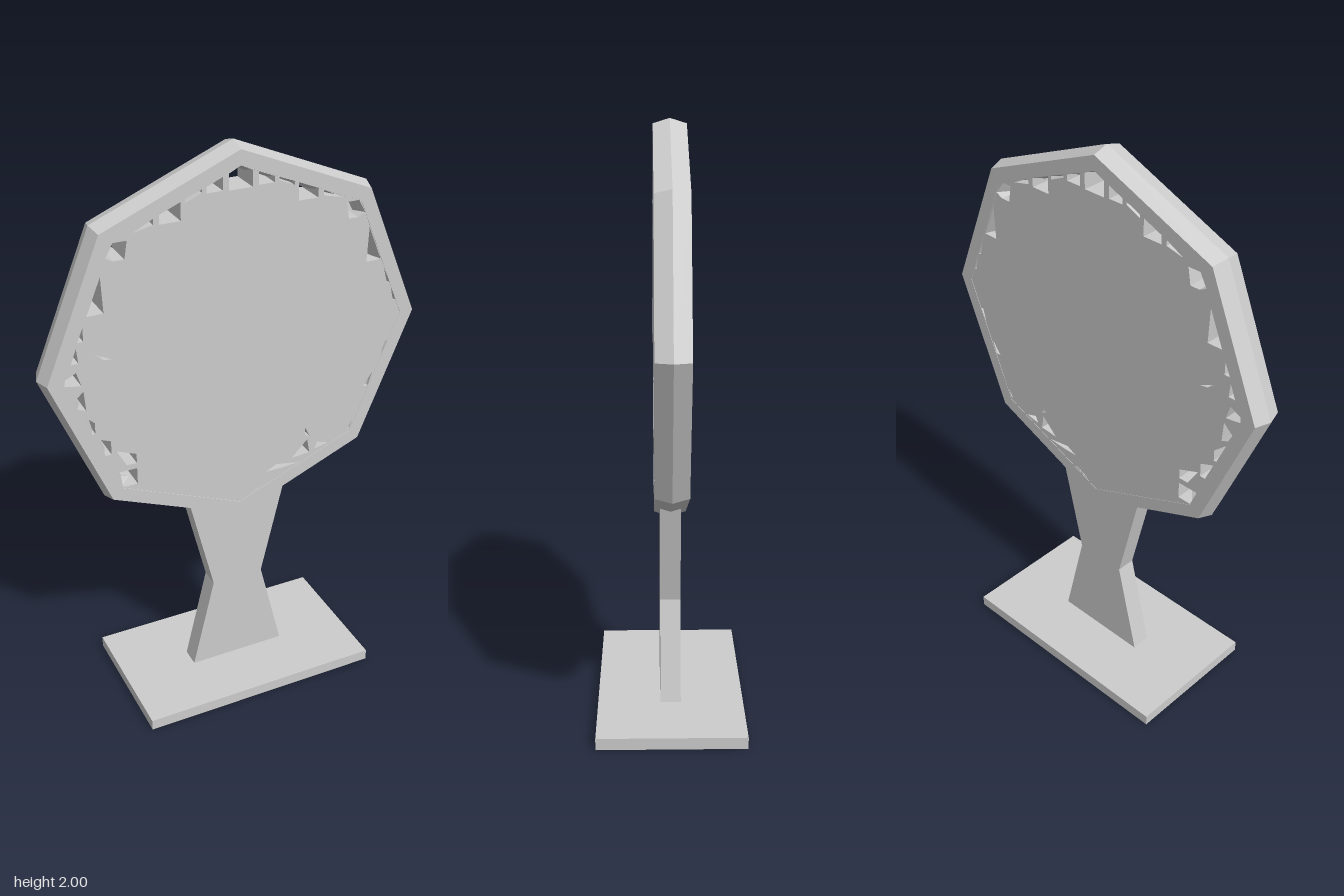
import * as THREE from 'three';

const CENTER_Y = 1.328;

// Turn a flat list x, y, x, y... into points, optionally mirrored in x
const points = (list, side = 1) => {
  const out = [];
  for (let i = 0; i < list.length; i += 2) out.push(new THREE.Vector2(list[i] * side, list[i + 1]));
  return out;
};

// Extrude a shape, centred on z = 0
function slab(shape, depth) {
  const geo = new THREE.ExtrudeGeometry(shape, { depth, bevelEnabled: false });
  geo.translate(0, 0, -depth / 2);
  return geo;
}

export function createModel() {
  const model = new THREE.Group();
  const grey = new THREE.MeshStandardMaterial({ color: 0xcccccc });
  grey.name = 'light grey';

  const add = (name, geometry, y = 0) => {
    const mesh = new THREE.Mesh(geometry, grey);
    mesh.name = name;
    mesh.position.y = y;
    model.add(mesh);
  };

  // Base plate
  add('base', new THREE.BoxGeometry(0.87, 0.04, 0.5), 0.02);

  // Waisted stem
  add('stem', slab(new THREE.Shape(points([
    -0.18, 0.03, 0.18, 0.03, 0.095, 0.385, 0.18, 0.74, -0.18, 0.74, -0.095, 0.385,
  ])), 0.07));

  // Octagonal frame with a six-sided section
  const section = points([
    0.655, -0.055, 0.672, 0, 0.655, 0.055, 0.605, 0.055, 0.585, 0, 0.605, -0.055, 0.655, -0.055,
  ]);
  const frame = new THREE.LatheGeometry(section, 8).toNonIndexed();
  frame.rotateX(Math.PI / 2);
  frame.computeVertexNormals();
  add('frame', frame, CENTER_Y);

  // Panel filling the frame, pierced by small openings around its rim
  const octagon = [];
  for (let i = 0; i < 8; i++) {
    const a = (i * Math.PI) / 4;
    octagon.push(new THREE.Vector2(0.63 * Math.cos(a), 0.63 * Math.sin(a)));
  }
  const panel = new THREE.Shape(octagon);
  const cut = (list, side) => panel.holes.push(new THREE.Path(points(list, side)));

  // Openings repeated on both sides of the upper half
  const mirrored = [
    [0.06, 0.535, 0.115, 0.535, 0.115, 0.555, 0.06, 0.578],
    [0.13, 0.54, 0.185, 0.515, 0.185, 0.528, 0.13, 0.55],
    [0.2, 0.462, 0.27, 0.462, 0.27, 0.493, 0.2, 0.522],
    [0.29, 0.465, 0.355, 0.45, 0.29, 0.484],
    [0.375, 0.43, 0.42, 0.43, 0.445, 0.385, 0.42, 0.372, 0.385, 0.372],
    [0.46, 0.21, 0.515, 0.21, 0.465, 0.33],
  ];
  for (const hole of mirrored) for (const side of [-1, 1]) cut(hole, side);

  // Top opening
  cut([-0.04, 0.532, 0.04, 0.532, 0.04, 0.585, 0, 0.605, -0.04, 0.585]);

  // Openings on the model's right
  const rightHoles = [
    [-0.53, 0.13, -0.55, 0.13, -0.53, 0.175],
    [-0.55, 0.06, -0.575, 0.06, -0.555, 0.11],
    [-0.545, -0.02, -0.6, -0.01, -0.6, 0.01, -0.56, 0.03],
    [-0.535, -0.11, -0.56, -0.1, -0.575, -0.07, -0.54, -0.04],
    [-0.51, -0.2, -0.52, -0.2, -0.555, -0.12, -0.51, -0.16],
    [-0.46, -0.29, -0.48, -0.29, -0.51, -0.22, -0.46, -0.24],
    [-0.375, -0.345, -0.41, -0.345, -0.45, -0.28, -0.375, -0.31],
    [-0.375, -0.425, -0.425, -0.425, -0.45, -0.365, -0.375, -0.365],
    [-0.5, 0.08, -0.44, 0.05, -0.47, 0.055],
  ];
  rightHoles.forEach((hole) => cut(hole));

  // Narrow slits on the model's left and lower edge
  const leftHoles = [
    [0.545, 0.12, 0.556, 0.12, 0.53, 0.175],
    [0.574, 0.05, 0.584, 0.05, 0.562, 0.1],
    [0.552, -0.1, 0.563, -0.1, 0.54, -0.15],
    [0.475, -0.26, 0.495, -0.26, 0.51, -0.21],
    [0.418, -0.42, 0.428, -0.415, 0.44, -0.385],
    [0.04, -0.585, 0.1, -0.555, 0.06, -0.57],
    [0.1, -0.51, 0.16, -0.51, 0.23, -0.505, 0.14, -0.49],
    [0.2, -0.48, 0.27, -0.475, 0.26, -0.42],
    [0.29, -0.465, 0.345, -0.455, 0.3, -0.44],
    [0.25, -0.4, 0.27, -0.41, 0.25, -0.37],
  ];
  leftHoles.forEach((hole) => cut(hole));
  add('panel', slab(panel, 0.108), CENTER_Y);

  return model;
}
